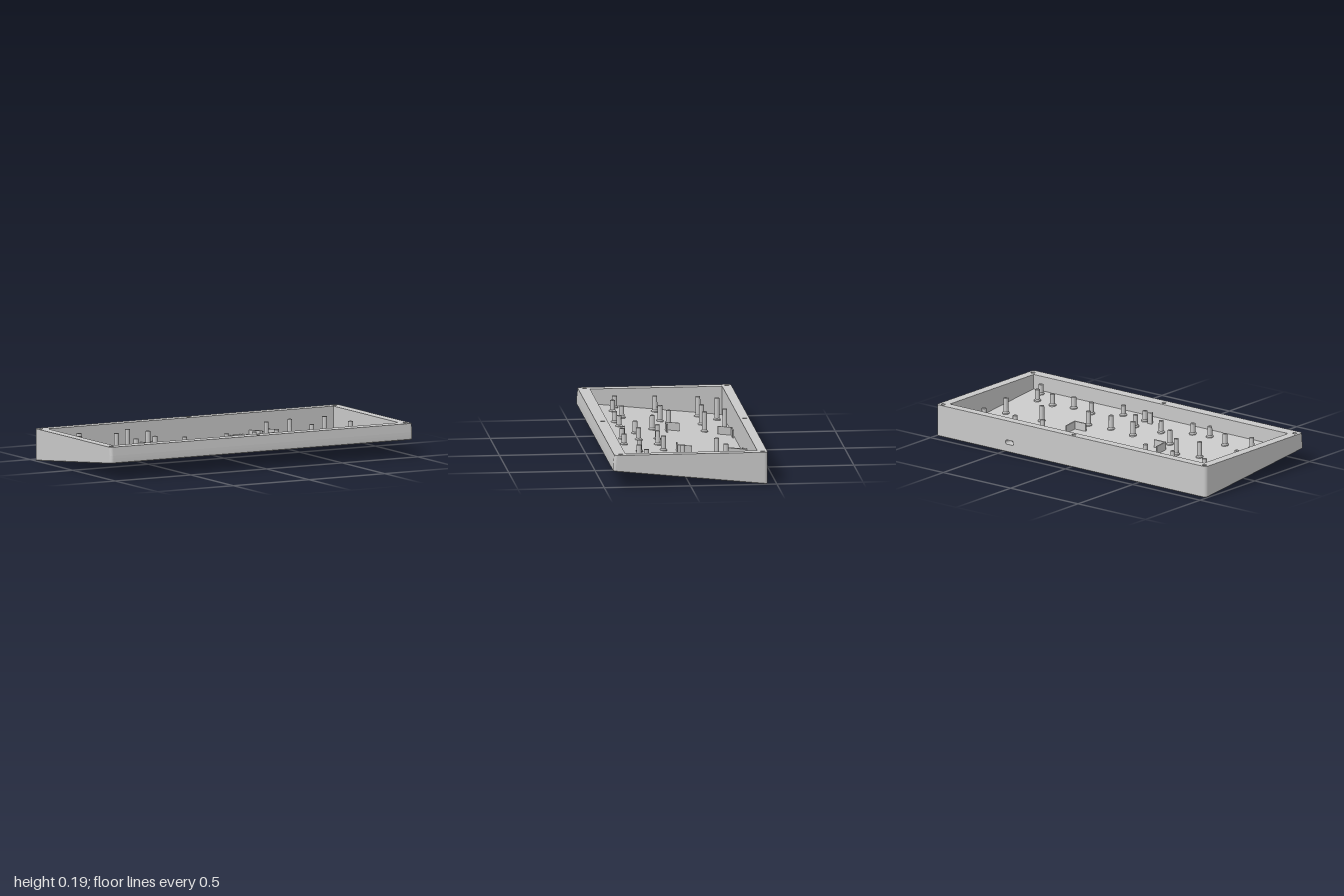
import * as THREE from 'three';
import { toCreasedNormals } from 'three/addons/utils/BufferGeometryUtils.js';

const TOP = 0.188;
const HX = 1, Z0 = -0.448, Z1 = 0.441, R = 0.02;     // outer outline
const WX = 0.943, WZ0 = -0.392, WZ1 = 0.373;         // inner window
const SLOT = { x: 0.456, y: 0.06, x0: 0.416, x1: 0.496 };

// sloped levels of the wedge
const under = z => (z - Z0) * 0.1045;
const skin = z => under(z) + 0.004;
const floor = z => under(z) + 0.016;
const rimLevel = t => z => floor(z) + t * (TOP - floor(z));

const grey = new THREE.MeshStandardMaterial({ color: 0xc8c8c8 });
grey.name = 'light grey plastic';

function addMesh(parent, name, geometry, x = 0, y = 0, z = 0) {
  const mesh = new THREE.Mesh(geometry, grey);
  mesh.name = name;
  mesh.position.set(x, y, z);
  parent.add(mesh);
  return mesh;
}

// plan shapes use (x, -z)
function outline() {
  const s = new THREE.Shape();
  const a = -Z1, b = -Z0;
  s.moveTo(-HX + R, a);
  s.lineTo(HX - R, a);
  s.absarc(HX - R, a + R, R, -Math.PI / 2, 0);
  s.lineTo(HX, b - R);
  s.absarc(HX - R, b - R, R, 0, Math.PI / 2);
  s.lineTo(-HX + R, b);
  s.absarc(-HX + R, b - R, R, Math.PI / 2, Math.PI);
  s.lineTo(-HX, a + R);
  s.absarc(-HX + R, a + R, R, Math.PI, Math.PI * 1.5);
  return s;
}

// outline with the window and a notch through the back wall
function notchedOutline() {
  const s = new THREE.Shape();
  const a = -Z1, b = -Z0;
  s.moveTo(SLOT.x0, b);
  s.lineTo(-HX + R, b);
  s.absarc(-HX + R, b - R, R, Math.PI / 2, Math.PI);
  s.lineTo(-HX, a + R);
  s.absarc(-HX + R, a + R, R, Math.PI, Math.PI * 1.5);
  s.lineTo(HX - R, a);
  s.absarc(HX - R, a + R, R, -Math.PI / 2, 0);
  s.lineTo(HX, b - R);
  s.absarc(HX - R, b - R, R, 0, Math.PI / 2);
  s.lineTo(SLOT.x1, b);
  s.lineTo(SLOT.x1, -WZ0);
  for (const [x, z] of [[WX, WZ0], [WX, WZ1], [-WX, WZ1], [-WX, WZ0], [SLOT.x0, WZ0]]) s.lineTo(x, -z);
  s.closePath();
  return s;
}

function windowHole() {
  const p = new THREE.Path();
  p.moveTo(-WX, -WZ0);
  p.lineTo(WX, -WZ0);
  p.lineTo(WX, -WZ1);
  p.lineTo(-WX, -WZ1);
  p.closePath();
  return p;
}

function cutCircles(shape, spots, r) {
  for (const [x, z] of spots) {
    const p = new THREE.Path();
    p.absarc(x, -z, r, 0, Math.PI * 2, true);
    shape.holes.push(p);
  }
  return shape;
}

const screws = [-0.97, 0, 0.97].flatMap(x => [[x, -0.422], [x, 0.402]]);
const feet = [-0.85, 0.85].flatMap(x => [[x, -0.35], [x, 0.36]]);
const SCREW_R = 0.0125, BORE_R = 0.016;

// extrude a plan shape between two sloped levels; the front curves outward downward
function layer(shape, low, high, chamfer = 0) {
  const g = new THREE.ExtrudeGeometry(shape, { depth: 1, bevelEnabled: false, curveSegments: 12 });
  g.rotateX(-Math.PI / 2);
  const p = g.attributes.position;
  for (let i = 0; i < p.count; i++) {
    let x = p.getX(i), z = p.getZ(i);
    const bottom = p.getY(i) < 0.5;
    const level = bottom ? low : high;
    const front = z > 0.424;
    if (front) z += 0.007 * (1 - ((level(z) - 0.095) / (TOP - 0.095)) ** 2);
    const y = level(z);
    if (bottom && chamfer) {
      if (Math.abs(x) > 0.987) x -= Math.sign(x) * chamfer;
      if (front) z -= chamfer;
      if (z < -0.44) z += chamfer;
    }
    p.setXYZ(i, x, y, z);
  }
  g.computeVertexNormals();
  return g;
}

function slotFrame() {
  const s = new THREE.Shape();
  s.moveTo(SLOT.x0 - 0.002, 0.038);
  s.lineTo(SLOT.x1 + 0.002, 0.038);
  s.lineTo(SLOT.x1 + 0.002, 0.086);
  s.lineTo(SLOT.x0 - 0.002, 0.086);
  s.closePath();
  const h = new THREE.Path();
  h.absarc(SLOT.x + 0.018, SLOT.y, 0.013, -Math.PI / 2, Math.PI / 2);
  h.absarc(SLOT.x - 0.018, SLOT.y, 0.013, Math.PI / 2, Math.PI * 1.5);
  h.closePath();
  s.holes.push(h);
  return new THREE.ExtrudeGeometry(s, { depth: WZ0 - Z0, bevelEnabled: false });
}

// box standing on the sloped floor, given by its plan bounds
function wall(parent, name, x0, x1, z0, z1, height) {
  const g = new THREE.BoxGeometry(x1 - x0, 1, z1 - z0);
  g.translate((x0 + x1) / 2, 0.5, (z0 + z1) / 2);
  const p = g.attributes.position;
  for (let i = 0; i < p.count; i++) {
    const f = floor(p.getZ(i));
    p.setY(i, p.getY(i) > 0.5 ? f + height : f - 0.003);
  }
  g.computeVertexNormals();
  addMesh(parent, name, g);
}

// post with a flared foot and a small pilot hole
function post(z) {
  const h = 0.156 - floor(z);
  const pts = [[0.021, -0.004], [0.021, 0.005], [0.0145, 0.012], [0.014, h], [0.005, h], [0.005, h - 0.015], [0, h - 0.015]];
  const g = new THREE.LatheGeometry(pts.map(([r, y]) => new THREE.Vector2(r, y)), 20);
  return toCreasedNormals(g, 0.5);
}

const posts = [
  [-0.765, -0.343], [-0.44, -0.353], [-0.82, -0.238], [-0.58, -0.233], [-0.375, -0.228],
  [-0.86, 0.007], [-0.585, 0.007], [-0.44, -0.028], [-0.305, 0.082], [-0.03, 0.082],
  [0.145, 0.098], [0.3, 0.082], [-0.145, 0.198], [0.045, 0.198], [-0.89, 0.238],
  [-0.765, 0.262], [-0.595, 0.227], [-0.435, 0.285], [-0.32, 0.272], [0.055, 0.296],
  [0.22, 0.302], [0.4, 0.232], [0.545, 0.25], [0.68, 0.222], [0.805, 0.238],
  [0.855, 0.33], [0.4, -0.215], [0.575, -0.25], [0.805, -0.25], [0.84, -0.008], [0.58, 0],
];

export function createModel() {
  const model = new THREE.Group();
  model.name = 'wedgeCase';

  // floor: lower skin with foot recesses, then the plate above it
  addMesh(model, 'undersideSkin', layer(cutCircles(cutCircles(outline(), screws, BORE_R), feet, 0.038), under, skin, 0.004));
  addMesh(model, 'floorPlate', layer(cutCircles(outline(), screws, BORE_R), skin, floor));

  // rim walls, with a band notched for the cable slot
  const ring = () => {
    const s = cutCircles(outline(), screws, SCREW_R);
    s.holes.push(windowHole());
    return s;
  };
  addMesh(model, 'lowerRim', layer(ring(), floor, rimLevel(0.15)));
  addMesh(model, 'slotBand', layer(cutCircles(notchedOutline(), screws, SCREW_R), rimLevel(0.15), rimLevel(0.36)));
  addMesh(model, 'upperRim', layer(ring(), rimLevel(0.36), () => TOP));
  addMesh(model, 'cableSlot', slotFrame(), 0, 0, Z0);

  // support posts
  for (const [x, z] of posts) addMesh(model, 'supportPost', post(z), x, floor(z), z);

  // corner brackets of the inner tray
  const T = 0.008, L = 0.085;
  for (const sx of [-1, 1]) for (const [zc, dz] of [[-0.386, 1], [0.005, -1]]) {
    const xc = sx * 0.339;
    const span = (c, d, len) => (d > 0 ? [c, c + len] : [c - len, c]);
    wall(model, 'trayBracket', ...span(xc, -sx, L), ...span(zc, dz, T), 0.046);
    wall(model, 'trayBracket', ...span(xc, -sx, T), ...span(zc, dz, L), 0.046);
  }

  // socket holder behind the cable slot
  wall(model, 'socketRail', 0.387, 0.405, -0.395, -0.268, 0.065);
  wall(model, 'socketRail', 0.494, 0.51, -0.395, -0.268, 0.065);
  wall(model, 'socketStop', 0.43, 0.475, -0.268, -0.26, 0.05);

  // triangular centre post
  const triangle = new THREE.CylinderGeometry(0.019, 0.019, 0.08, 3).toNonIndexed();
  triangle.computeVertexNormals();
  addMesh(model, 'triangularPost', triangle, 0, 0.116, 0.283);

  return model;
}
